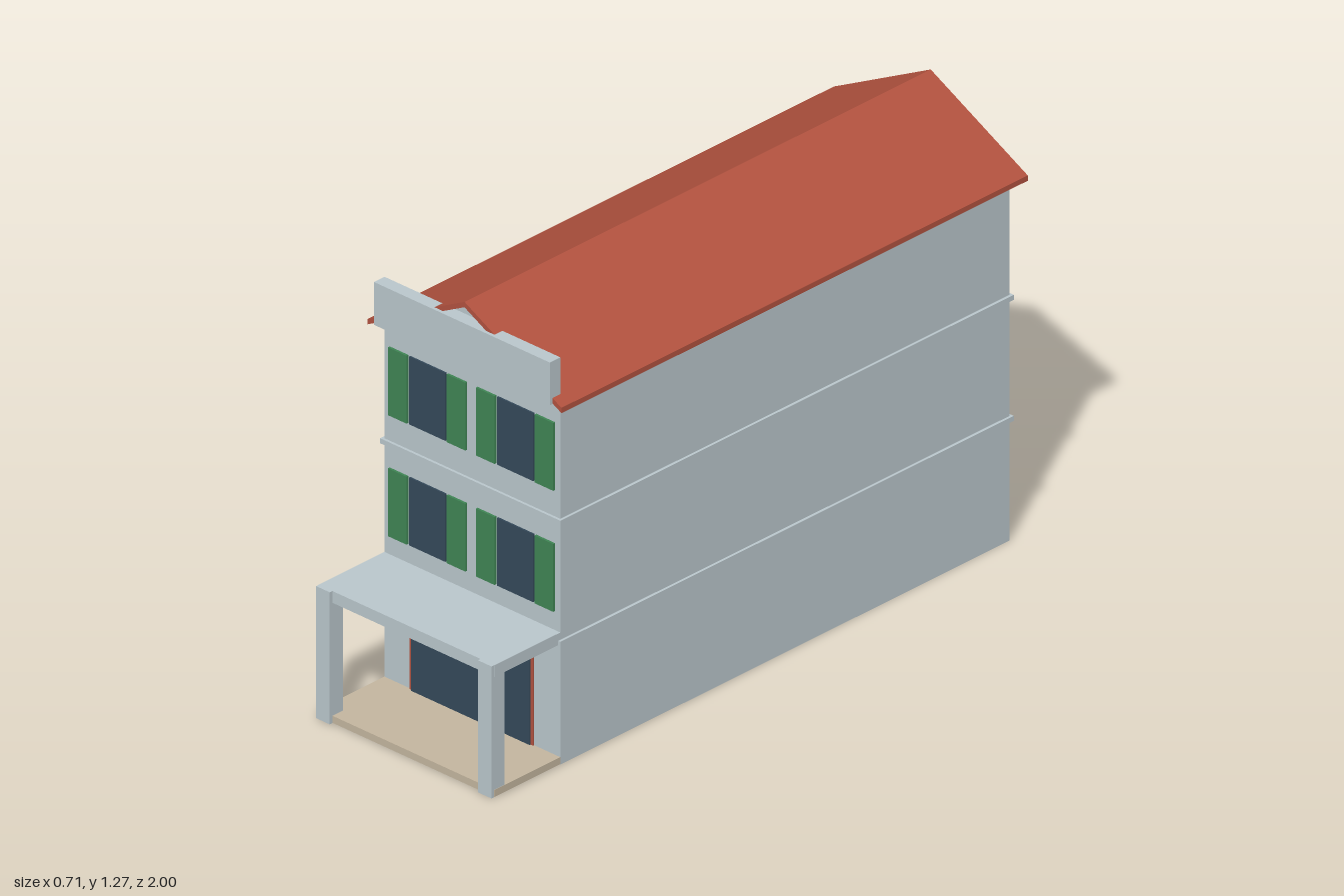
import * as THREE from 'three';

const paint = (name, color) => {
  const m = new THREE.MeshStandardMaterial({ color });
  m.name = name;
  return m;
};

export function createModel() {
  const house = new THREE.Group();
  house.name = 'townhouse';

  const wall = paint('pale grey plaster', 0xbac7cc);
  const shell = paint('pale grey plaster shell', 0xbac7cc);
  shell.side = THREE.DoubleSide;
  const tile = paint('red tile', 0xb2523f);
  const green = paint('shutter green', 0x3f8554);
  const glass = paint('dark glass', 0x34495a);
  const paving = paint('sand paving', 0xc4b69f);

  // Box given by its lower and upper corners
  const box = (name, mat, [x0, y0, z0], [x1, y1, z1], parent = house) => {
    const mesh = new THREE.Mesh(new THREE.BoxGeometry(x1 - x0, y1 - y0, z1 - z0), mat);
    mesh.position.set((x0 + x1) / 2, (y0 + y1) / 2, (z0 + z1) / 2);
    mesh.name = name;
    parent.add(mesh);
    return mesh;
  };

  const W = 0.32, FRONT = 0.74, BACK = -0.965, EAVE = 1.09, PEAK = 1.258;

  // Gabled end walls
  const gable = new THREE.Shape([[-W, 0], [W, 0], [W, EAVE], [0, PEAK], [-W, EAVE]]
    .map(([x, y]) => new THREE.Vector2(x, y)));
  for (const [name, z, turn] of [['frontWall', FRONT, 0], ['backWall', BACK, Math.PI]]) {
    const mesh = new THREE.Mesh(new THREE.ShapeGeometry(gable), shell);
    mesh.position.z = z;
    mesh.rotation.y = turn;
    mesh.name = name;
    house.add(mesh);
  }

  // Long side walls; the shell is open underneath
  for (const s of [-1, 1]) {
    const mesh = new THREE.Mesh(new THREE.PlaneGeometry(FRONT - BACK, EAVE), shell);
    mesh.position.set(s * W, EAVE / 2, (FRONT + BACK) / 2);
    mesh.rotation.y = s * Math.PI / 2;
    mesh.name = s > 0 ? 'leftWall' : 'rightWall';
    house.add(mesh);
  }

  // Floor slabs that show outside as string courses
  for (const y of [0.358, 0.72])
    box('floorBand', wall, [-0.328, y, BACK - 0.008], [0.328, y + 0.015, FRONT + 0.008]);

  // Pitched roof, a chevron section run along the house
  const chevron = new THREE.Shape([[-0.353, 1.075], [0, 1.259], [0.353, 1.075],
    [0.353, 1.091], [0, 1.275], [-0.353, 1.091]].map(([x, y]) => new THREE.Vector2(x, y)));
  const roof = new THREE.Mesh(
    new THREE.ExtrudeGeometry(chevron, { depth: 1.77, bevelEnabled: false }), tile);
  roof.position.z = -1;
  roof.name = 'roof';
  house.add(roof);

  // Front parapet
  box('parapet', wall, [-W, 1.09, 0.74], [W, 1.218, 0.78]);

  // Porch: floor, canopy and two posts
  box('porchFloor', paving, [-W, 0.001, FRONT], [W, 0.022, 0.99]);
  box('porchCanopy', wall, [-W, 0.36, FRONT], [W, 0.395, 0.99]);
  for (const s of [-1, 1]) {
    const a = s * 0.27, b = s * 0.319;
    box('porchPost', wall, [Math.min(a, b), 0, 0.95], [Math.max(a, b), 0.395, 1]);
  }

  // Shop front
  box('doorFrame', tile, [-0.225, 0.022, FRONT], [0.225, 0.291, FRONT + 0.004]);
  box('doorGlass', glass, [-0.216, 0.022, FRONT], [0.216, 0.282, FRONT + 0.008]);

  // Shuttered windows: two per upper floor in front, one per floor behind
  const addWindow = (x, y, z, dir) => {
    const g = new THREE.Group();
    g.name = 'window';
    box('windowGlass', glass, [-0.066, 0, 0], [0.066, 0.203, 0.005], g);
    for (const c of [-0.107, 0.107])
      box('shutter', green, [c - 0.034, 0, 0], [c + 0.034, 0.203, 0.007], g);
    g.position.set(x, y, z);
    if (dir < 0) g.rotation.y = Math.PI;
    house.add(g);
  };
  for (const y of [0.452, 0.814]) {
    addWindow(-0.16, y, FRONT, 1);
    addWindow(0.16, y, FRONT, 1);
    addWindow(0, y, BACK, -1);
  }

  return house;
}
